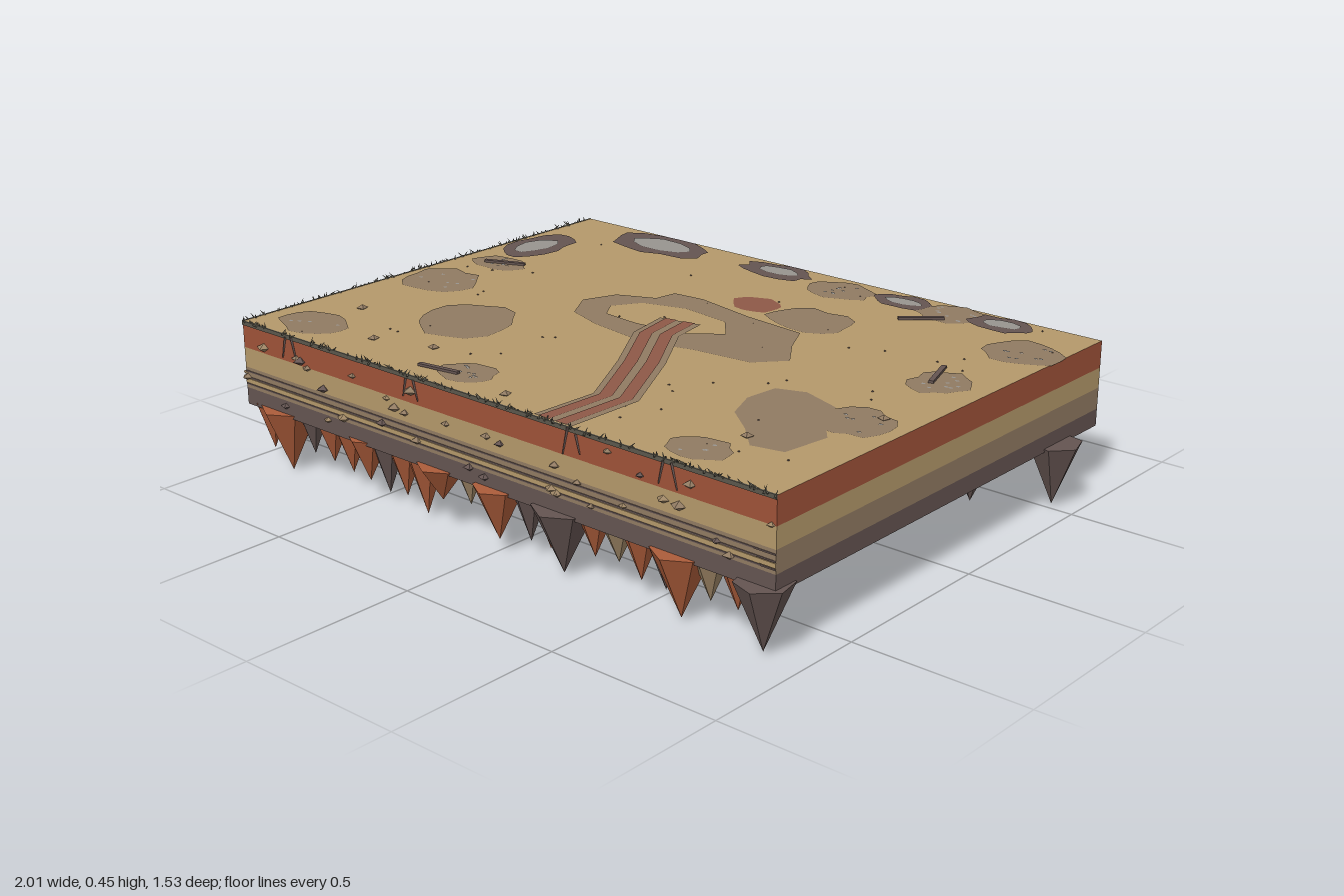
import * as THREE from 'three';

const flat = { flatShading: true, side: THREE.DoubleSide };
const mat = (name, color) => Object.assign(new THREE.MeshStandardMaterial({ color, ...flat }), { name });
const M = {
  sand: mat('sand', 0xb4986a),
  clay: mat('red clay', 0x9e5238),
  soil: mat('brown soil', 0x907a62),
  rock: mat('dark rock', 0x645451),
  stone: mat('grey stone', 0x97948f),
  track: mat('rutted earth', 0x8d5847),
  spikeClay: mat('spike clay', 0xab5c3a),
  spikeSand: mat('spike sand', 0x9d8565),
  grass: mat('dry grass', 0x5a574c),
  hollow: mat('dark hollow', 0x2a2516),
};
// Block limits
const X0 = -0.97, X1 = 0.936, Z = 0.713, TOP = 0.437, BASE = 0.19;
const XC = (X0 + X1) / 2, W = X1 - X0;

let seed = 7;
const rnd = (a = 0, b = 1) => {
  seed = (seed * 16807) % 2147483647;
  return a + (b - a) * seed / 2147483647;
};

export function createModel() {
  const root = new THREE.Group();
  root.name = 'terrainBlock';
  const group = (name) => {
    const g = new THREE.Group();
    g.name = name;
    root.add(g);
    return g;
  };
  const add = (parent, name, geo, m, x = 0, y = 0, z = 0) => {
    const mesh = new THREE.Mesh(geo, m);
    mesh.name = name;
    mesh.position.set(x, y, z);
    parent.add(mesh);
    return mesh;
  };

  // Hollow walls made of four strata
  const walls = group('strata');
  [['clayLayer', 0.36, TOP, M.clay], ['sandLayer', 0.302, 0.36, M.sand],
    ['soilLayer', 0.24, 0.302, M.soil], ['rockLayer', BASE, 0.24, M.rock]].forEach(([name, lo, hi, m]) => {
    const ring = new THREE.CylinderGeometry(Math.SQRT1_2, Math.SQRT1_2, 1, 4, 1, true)
      .rotateY(Math.PI / 4).scale(W, hi - lo, 2 * Z).toNonIndexed();
    ring.computeVertexNormals();
    add(walls, name, ring, m, XC, (lo + hi) / 2, 0);
  });
  add(root, 'ground', new THREE.PlaneGeometry(W, 2 * Z).rotateX(-Math.PI / 2), M.sand, XC, TOP, 0);
  add(root, 'hollowCeiling', new THREE.PlaneGeometry(W, 2 * Z).rotateX(Math.PI / 2), M.hollow, XC, TOP - 0.004, 0);

  // Thin seams on the front
  const seams = group('seams');
  [[0.29, 0.004, M.rock], [0.272, 0.004, M.rock], [0.262, 0.012, M.sand], [0.252, 0.004, M.rock]]
    .forEach(([y, h, m]) => add(seams, 'frontSeam', new THREE.BoxGeometry(W, h, 0.004), m, XC, y, Z));

  // Ground patches: flat irregular outlines stacked in thin layers
  const patches = group('patches');
  const flatShape = (name, shape, m, level) =>
    add(patches, name, new THREE.ShapeGeometry(shape).rotateX(-Math.PI / 2), m, 0, TOP + 0.0015 * level, 0);
  const blob = (name, m, level, x, z, rx, rz, n = 16, rough = 0.16) => {
    const pts = [];
    for (let i = 0; i < n; i++) {
      const a = i / n * Math.PI * 2, r = 1 + rnd(-rough, rough * 0.7);
      pts.push(new THREE.Vector2(x + Math.cos(a) * rx * r, -z + Math.sin(a) * rz * r));
    }
    flatShape(name, new THREE.Shape(pts), m, level);
  };
  // Soil patches, some sprinkled with grey specks: [x, z, rx, rz, specks]
  [[0.13, -0.61, 0.11, 0.08, 8], [0.5, -0.63, 0.1, 0.085, 9], [0.83, -0.48, 0.11, 0.1, 9], [0.23, -0.325, 0.14, 0.1, 0],
    [-0.83, -0.16, 0.095, 0.065, 9], [-0.83, 0.08, 0.125, 0.11, 6], [-0.5, 0.3, 0.155, 0.155, 0], [-0.8, 0.6, 0.115, 0.085, 4],
    [-0.18, 0.6, 0.085, 0.07, 9], [0.62, 0.61, 0.095, 0.07, 4], [0.8, 0.23, 0.1, 0.1, 6], [0.8, -0.14, 0.085, 0.09, 9]]
    .forEach(([x, z, rx, rz, specks], i) => {
      blob('soilPatch', M.soil, 1 + (i % 2) * 0.3, x, z, rx, rz);
      for (let k = 0; k < specks; k++) {
        blob('speck', M.stone, 2, x + rnd(-0.6, 0.6) * rx, z + rnd(-0.6, 0.6) * rz, 0.007, 0.005, 5);
      }
    });
  const outline = (pts) => new THREE.Shape(pts.map(([x, z]) => new THREE.Vector2(x, -z)));
  flatShape('soilPatch', outline([[0.5, 0.17], [0.58, 0.14], [0.7, 0.18], [0.76, 0.3], [0.81, 0.36], [0.79, 0.5],
    [0.7, 0.52], [0.62, 0.44], [0.53, 0.37], [0.49, 0.27]]), M.soil, 0.7);
  blob('clayPatch', M.track, 0.8, 0.025, -0.35, 0.085, 0.065);

  // Worn ring with a bare middle
  const ring = outline([[-0.38, -0.05], [-0.34, -0.15], [-0.23, -0.2], [-0.22, -0.27], [-0.12, -0.28], [0.08, -0.24],
    [0.28, -0.22], [0.33, -0.12], [0.4, -0.02], [0.33, 0.06], [0.15, 0.08], [0, 0.12], [-0.2, 0.09], [-0.32, 0.05]]);
  ring.holes.push(new THREE.Path([[-0.28, -0.06], [-0.23, -0.14], [-0.1, -0.18], [0.06, -0.16], [0.13, -0.08],
    [0.04, -0.01], [-0.12, 0.01], [-0.24, 0]].map(([x, z]) => new THREE.Vector2(x, -z))));
  flatShape('wornRing', ring, M.soil, 1.6);

  // Rock outcrops with grey tops
  [[-0.58, -0.62, 0.18, 0.09, 0.115, 0.052], [-0.13, -0.64, 0.13, 0.065, 0.075, 0.035],
    [0.33, -0.635, 0.1, 0.06, 0.06, 0.028], [0.66, -0.645, 0.11, 0.06, 0.065, 0.032],
    [-0.87, -0.36, 0.09, 0.14, 0.046, 0.085]].forEach(([x, z, rx, rz, sx, sz]) => {
    blob('outcrop', M.rock, 2.2, x, z, rx, rz);
    blob('outcropTop', M.stone, 3.4, x, z, sx, sz, 10);
  });

  // Road with two wheel ruts, as ribbons along one path
  const path = [[-0.035, -0.08], [-0.01, 0.05], [0.115, 0.25], [0.243, 0.49], [0.235, Z]];
  const ribbon = (name, m, level, offset, width) => {
    const side = (d) => path.map(([x, z], i) => {
      const a = path[Math.max(i - 1, 0)], b = path[Math.min(i + 1, path.length - 1)];
      const l = Math.hypot(b[0] - a[0], b[1] - a[1]);
      return [x + (b[1] - a[1]) / l * d, Math.min(z - (b[0] - a[0]) / l * d, Z)];
    });
    flatShape(name, outline([...side(offset - width / 2), ...side(offset + width / 2).reverse()]), m, level);
  };
  ribbon('road', M.soil, 2.6, 0, 0.13);
  for (const s of [-1, 1]) ribbon('wheelRut', M.track, 3.6, s * 0.029, 0.036);

  // Hanging spikes: [x, z, tip height, radius, colour, turn]
  const spikes = group('spikes');
  const spike = (x, z, tip, r, m, turn = 0) => {
    const h = 0.2 - tip;
    const geo = new THREE.ConeGeometry(r, h, 6).rotateX(Math.PI).rotateY(turn);
    add(spikes, 'spike', geo, m, x, 0.2 - h / 2, z);
  };
  const R = M.spikeClay, D = M.rock, B = M.spikeSand;
  // Front row
  [[-0.93, 0.66, 0.05, 0.055, R], [-0.84, 0.67, 0.01, 0.085, R], [-0.75, 0.66, 0.08, 0.045, D], [-0.68, 0.65, 0.07, 0.055, R],
    [-0.6, 0.65, 0.06, 0.055, R], [-0.5, 0.675, 0.07, 0.06, R], [-0.45, 0.65, 0.04, 0.055, D], [-0.38, 0.65, 0.05, 0.055, R],
    [-0.3, 0.65, 0.02, 0.06, R], [-0.2, 0.685, 0.1, 0.07, R], [-0.12, 0.66, 0.1, 0.04, B], [-0.05, 0.655, 0.09, 0.05, B],
    [0.015, 0.69, 0.05, 0.07, R], [0.1, 0.66, 0.06, 0.05, D], [0.17, 0.66, 0.06, 0.05, R], [0.235, 0.68, 0.02, 0.085, D],
    [0.32, 0.655, 0.08, 0.05, R], [0.4, 0.655, 0.09, 0.05, B], [0.47, 0.65, 0.06, 0.055, R], [0.55, 0.65, 0.06, 0.055, D],
    [0.625, 0.68, 0.02, 0.08, R], [0.7, 0.66, 0.08, 0.05, B], [0.78, 0.655, 0.08, 0.05, R], [0.885, 0.69, 0.02, 0.075, D, 0.2]]
    .forEach((s) => spike(...s));
  // Back edge and hollow
  [[0.93, -0.51, 0.02, 0.075, D, 0.3], [0.8, -0.235, 0.1, 0.05, B], [0.84, -0.24, 0.09, 0.05, D], [0.425, -0.54, 0.03, 0.08, D],
    [0.33, -0.62, 0.05, 0.07, B], [0.22, -0.69, 0.03, 0.08, R], [0.135, -0.18, 0.03, 0.08, B], [-0.07, 0.03, 0.06, 0.07, R],
    [-0.09, -0.095, 0.09, 0.05, R], [-0.28, 0.33, 0.03, 0.08, D], [-0.335, 0.2, 0.07, 0.06, B], [-0.35, -0.6, 0.03, 0.08, B],
    [-0.56, -0.22, 0.11, 0.04, B], [-0.54, -0.465, 0.05, 0.065, D], [-0.565, -0.64, 0.07, 0.06, D],
    [-0.52, -0.69, 0.1, 0.07, B, Math.PI / 6], [-0.845, -0.69, 0.06, 0.08, B, Math.PI / 6],
    [0.26, 0.31, 0.08, 0.04, D], [0.54, 0.29, 0.1, 0.035, R], [0.75, 0.345, 0.09, 0.055, R]]
    .forEach((s) => spike(...s));
  // Open side row: [z, tip height, radius, colour]
  [[0.62, 0.02, 0.065, R], [0.55, 0.05, 0.05, D], [0.46, 0.06, 0.06, R], [0.38, 0.05, 0.05, D], [0.3, 0.02, 0.065, R],
    [0.24, 0.04, 0.05, B], [0.14, 0.04, 0.065, R], [0.07, 0.07, 0.05, D], [0, 0.06, 0.06, D], [-0.07, 0.06, 0.05, R],
    [-0.17, 0.025, 0.07, B], [-0.27, 0.07, 0.05, D], [-0.43, 0.06, 0.055, D], [-0.52, 0.09, 0.045, B], [-0.6, 0.03, 0.065, D]]
    .forEach(([z, tip, r, m], i) => spike(i === 6 ? -0.942 : X0 + r * 0.95, z, tip, r, m, Math.PI / 6));

  // Grass fringe along the front and open side
  const fringe = group('grassFringe');
  for (let i = 0; i < 240; i++) {
    const front = i < 140;
    const h = rnd(0.008, 0.026);
    const blade = add(fringe, 'grassBlade', new THREE.ConeGeometry(0.0035, h, 3), M.grass,
      front ? rnd(X0, X1) : X0 + rnd(-0.004, 0.003), TOP + h * 0.25, front ? Z + rnd(-0.003, 0.004) : rnd(-Z, Z));
    blade.rotation.set(rnd(-0.9, 0.9), 0, rnd(-0.9, 0.9));
  }
  add(fringe, 'frontTurf', new THREE.BoxGeometry(W, 0.012, 0.005), M.grass, XC, TOP - 0.005, Z);
  add(fringe, 'sideTurf', new THREE.BoxGeometry(0.005, 0.012, 2 * Z), M.grass, X0, TOP - 0.005, 0);

  // Pebbles in the walls and on the ground
  const pebbles = group('pebbles');
  const pebble = (x, y, z, r, m) => {
    const p = add(pebbles, 'pebble', new THREE.OctahedronGeometry(r, 0), m, x, y, z);
    p.scale.y = 0.55;
    p.rotation.y = rnd(0, 3);
  };
  for (let i = 0; i < 60; i++) {
    const front = i < 36;
    pebble(front ? rnd(X0, X1) : X0, rnd(0.22, 0.41), front ? Z : rnd(-Z, Z), rnd(0.012, 0.024), [M.soil, M.spikeSand, M.soil, M.rock][i % 4]);
  }
  [[-0.8, 0.42], [-0.57, 0.58], [-0.39, 0.525], [0.84, 0.17], [0.66, 0.48], [0.015, 0.655]]
    .forEach(([x, z]) => pebble(x, TOP + 0.004, z, 0.017, M.soil));
  for (let i = 0; i < 50; i++) pebble(rnd(-0.94, 0.9), TOP + 0.001, rnd(-0.68, 0.68), 0.004, M.rock);

  // Roots on the front wall and fallen twigs on the ground
  const twigs = group('rootsAndTwigs');
  for (const x of [-0.77, -0.28, 0.3, 0.61]) {
    for (const d of [-0.02, 0.022]) {
      const strand = add(twigs, 'root', new THREE.CylinderGeometry(0.004, 0.002, rnd(0.05, 0.09), 4), M.rock, x + d, 0.4, Z + 0.002);
      strand.rotation.z = d * 12;
    }
  }
  [[-0.81, -0.16, 0.4], [0.76, -0.18, 1.9], [-0.25, 0.637, 0.15], [0.46, -0.54, 0.7]].forEach(([x, z, a]) => {
    const twig = add(twigs, 'twig', new THREE.BoxGeometry(0.13, 0.007, 0.014), M.rock, x, TOP + 0.006, z);
    twig.rotation.y = a;
  });
  return root;
}
